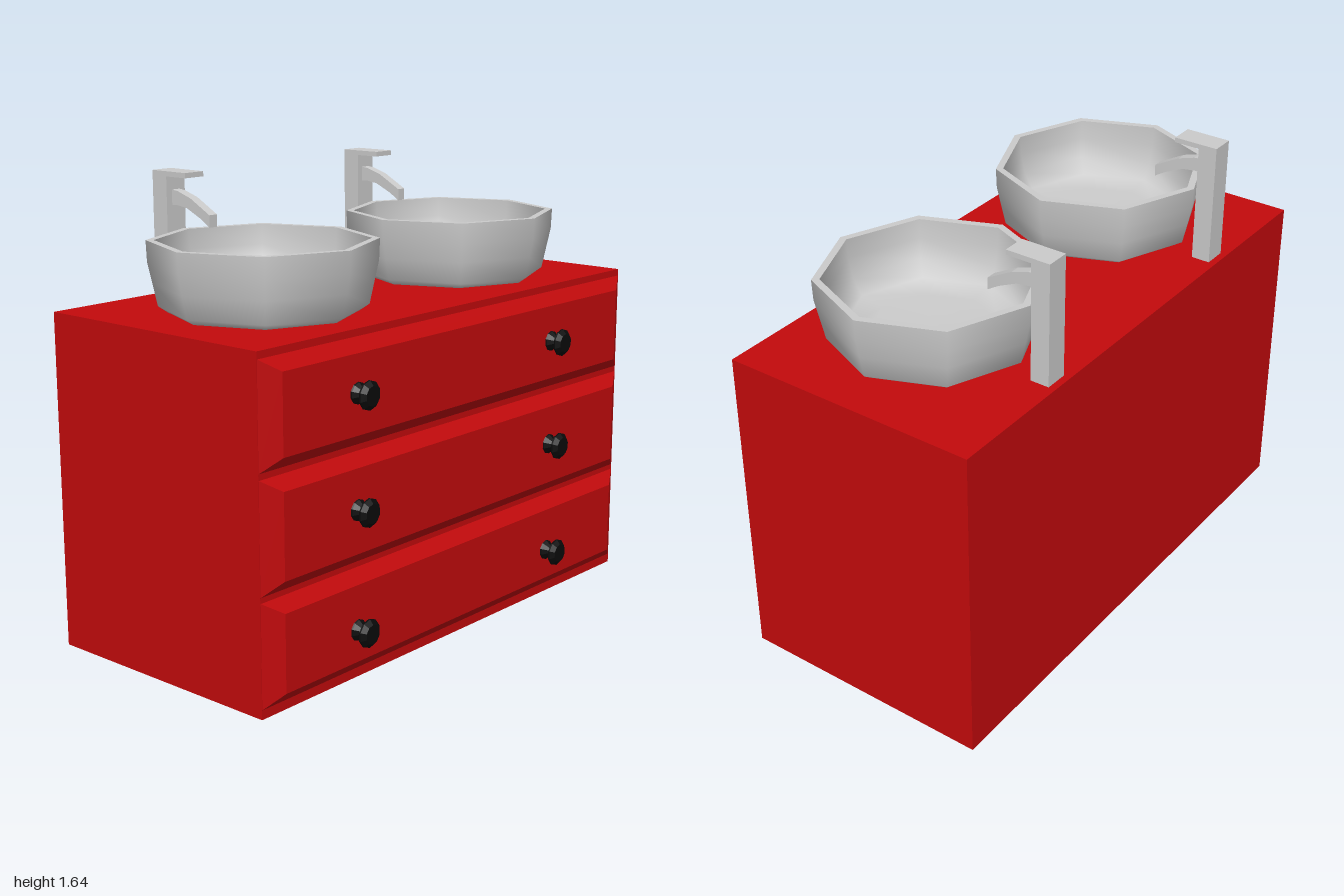
import * as THREE from 'three';

const red = new THREE.MeshStandardMaterial({ color: 0xc40a0c });
const black = new THREE.MeshStandardMaterial({ color: 0x0a0a0a, flatShading: true });
const grey = new THREE.MeshStandardMaterial({ color: 0xcccccc });

const points = (list) => list.map(([x, y]) => new THREE.Vector2(x, y));

function add(parent, name, geometry, material, x = 0, y = 0, z = 0) {
  const mesh = new THREE.Mesh(geometry, material);
  mesh.name = name;
  mesh.position.set(x, y, z);
  parent.add(mesh);
  return mesh;
}

// Box whose front face is inset to leave sloping edges
function drawerFrontGeometry(width, height, depth, insetX, insetY) {
  const geometry = new THREE.BoxGeometry(width, height, depth);
  const p = geometry.attributes.position;
  for (let i = 0; i < p.count; i++) {
    if (p.getZ(i) < 0) continue;
    p.setX(i, p.getX(i) - Math.sign(p.getX(i)) * insetX);
    p.setY(i, p.getY(i) - Math.sign(p.getY(i)) * insetY);
  }
  geometry.computeVertexNormals();
  return geometry;
}

// Turned knob, its axis pointing forward
function knobGeometry() {
  const profile = [[0, 0], [0.038, 0], [0.036, 0.006], [0.016, 0.028],
    [0.018, 0.034], [0.05, 0.046], [0.05, 0.052], [0.034, 0.066], [0, 0.066]];
  return new THREE.LatheGeometry(points(profile), 10).rotateX(Math.PI / 2);
}

// Eight-sided bowl; doubled points keep the rim and foot crisp
function basinGeometry() {
  const profile = [[0, 0], [0.328, 0], [0.328, 0], [0.358, 0.02], [0.375, 0.1], [0.39, 0.17],
    [0.393, 0.245], [0.393, 0.245], [0.366, 0.245], [0.366, 0.245],
    [0.362, 0.175], [0.345, 0.1], [0.31, 0.045], [0.22, 0.03], [0, 0.025]];
  return new THREE.LatheGeometry(points(profile), 8);
}

// Curved spout drawn in side view (z, y) and extruded across x
function spoutGeometry(width) {
  const outline = [[-0.44, 0.325], [-0.41, 0.327], [-0.36, 0.32], [-0.29, 0.288], [-0.248, 0.262],
    [-0.248, 0.305], [-0.342, 0.356], [-0.405, 0.376], [-0.44, 0.38]];
  return new THREE.ExtrudeGeometry(new THREE.Shape(points(outline)), { depth: width, bevelEnabled: false })
    .translate(0, 0, -width / 2)
    .rotateY(-Math.PI / 2);
}

function createTap() {
  const tap = new THREE.Group();
  tap.name = 'tap';
  add(tap, 'tapPost', new THREE.BoxGeometry(0.086, 0.427, 0.07), grey, 0, 0.2135, -0.469);
  add(tap, 'tapLever', new THREE.BoxGeometry(0.086, 0.018, 0.166), grey, 0, 0.436, -0.421);
  add(tap, 'tapSpout', spoutGeometry(0.036), grey);
  return tap;
}

export function createModel() {
  const group = new THREE.Group();
  group.name = 'doubleVanity';

  add(group, 'cabinet', new THREE.BoxGeometry(2, 1.2, 0.96), red, 0, 0.6, -0.05);

  // Drawers: bottom, top and knob height
  const knob = knobGeometry();
  for (const [bottom, top, knobY] of [[0.032, 0.393, 0.19], [0.41, 0.794, 0.607], [0.813, 1.176, 1.0]]) {
    const drawer = new THREE.Group();
    drawer.name = 'drawer';
    group.add(drawer);
    const front = drawerFrontGeometry(2, top - bottom, 0.04, 0.072, 0.045);
    add(drawer, 'drawerFront', front, red, 0, (top + bottom) / 2, 0.449);
    for (const x of [-0.58, 0.498]) add(drawer, 'knob', knob, black, x, knobY, 0.468);
  }

  // Basins, each with a tap behind it
  const basin = basinGeometry();
  for (const x of [-0.518, 0.492]) {
    add(group, 'basin', basin, grey, x, 1.2, -0.008);
    const tap = createTap();
    tap.position.set(x, 1.2, 0);
    group.add(tap);
  }
  return group;
}
